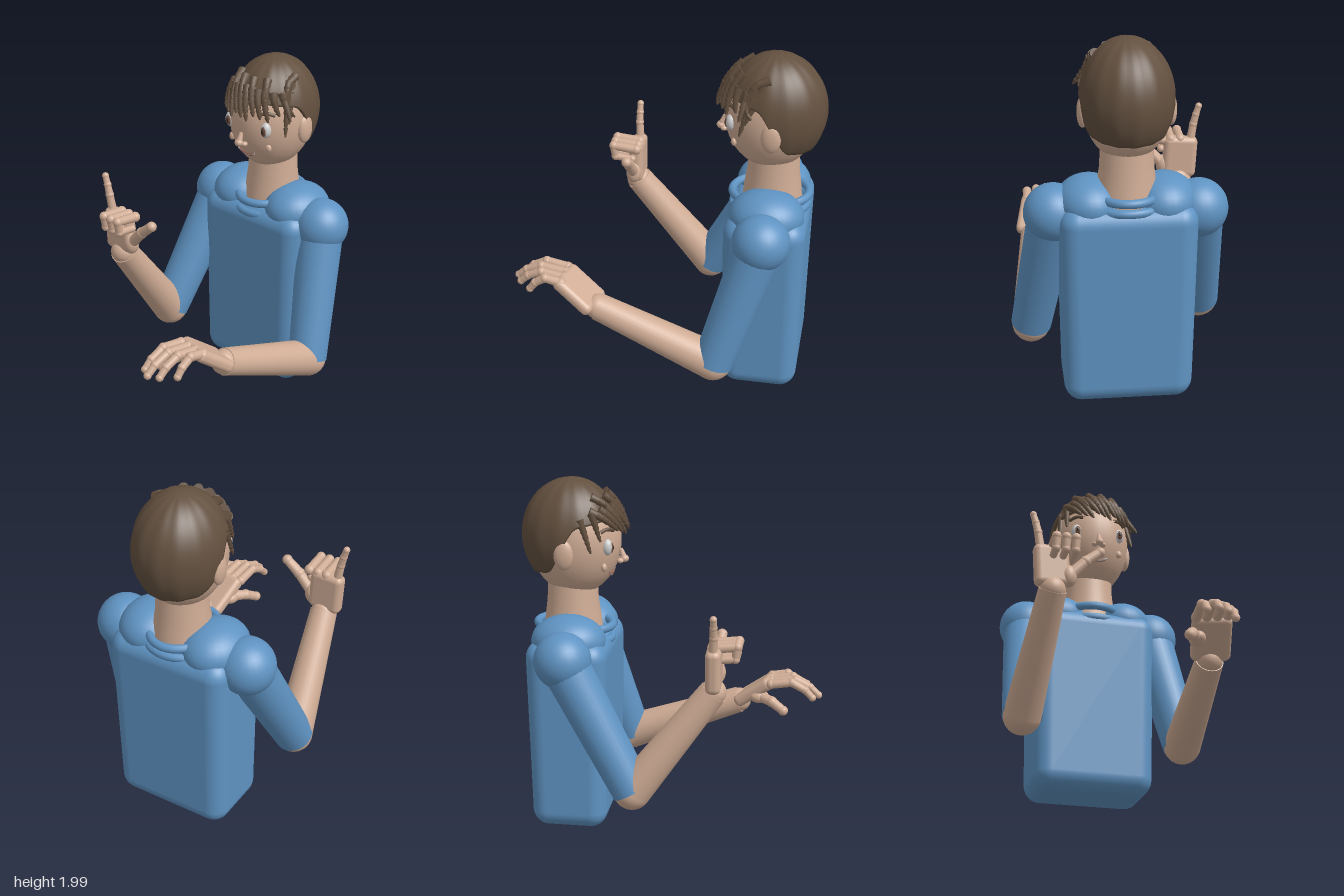
import * as THREE from 'three';
import { RoundedBoxGeometry } from 'three/addons/geometries/RoundedBoxGeometry.js';

const mat = (color) => new THREE.MeshStandardMaterial({ color, side: THREE.DoubleSide });
const skin = mat(0xcfac95), blue = mat(0x5f93c2), hairMat = mat(0x63503f);
const white = mat(0xd8d8d8), iris = mat(0x6e4c3c), dark = mat(0x2a2220), lip = mat(0x9a6655);
const V = (x, y, z) => new THREE.Vector3(x, y, z);
const ball = new THREE.SphereGeometry(1, 28, 20);
const bead = new THREE.SphereGeometry(1, 14, 10);
const CX = -0.02, CZ = -0.56;

function add(parent, name, geo, material, pos = V(0, 0, 0)) {
  const m = new THREE.Mesh(geo, material);
  m.name = name;
  m.position.copy(pos);
  parent.add(m);
  return m;
}

function ellipsoid(parent, name, material, pos, rx, ry = rx, rz = rx, geo = ball) {
  const m = add(parent, name, geo, material, pos);
  m.scale.set(rx, ry, rz);
  return m;
}

// Tapered cylinder running from a to b
function limb(parent, name, material, a, b, ra, rb, sides = 28) {
  const d = b.clone().sub(a);
  const m = add(parent, name, new THREE.CylinderGeometry(rb, ra, d.length(), sides), material,
    a.clone().add(b).multiplyScalar(0.5));
  m.quaternion.setFromUnitVectors(V(0, 1, 0), d.normalize());
  return m;
}

// Jointed finger: tapered bones with a ball at each joint
function finger(parent, name, points, r) {
  const g = new THREE.Group();
  g.name = name;
  parent.add(g);
  points.forEach((p, i) => {
    const ri = r * (1 - 0.09 * i);
    ellipsoid(g, 'joint', skin, p, ri * 1.05, ri * 1.05, ri * 1.05, bead);
    if (i) limb(g, 'bone', skin, points[i - 1], p, ri * 1.06, ri * 0.94, 14);
  });
}

function arm(parent, name, shoulder, elbow, wrist) {
  const g = new THREE.Group();
  g.name = name;
  parent.add(g);
  ellipsoid(g, 'shoulderCap', blue, shoulder, 0.16);
  limb(g, 'sleeve', blue, shoulder, elbow, 0.135, 0.113);
  ellipsoid(g, 'elbow', skin, elbow, 0.108);
  limb(g, 'forearm', skin, elbow, wrist, 0.108, 0.078);
  ellipsoid(g, 'wrist', skin, wrist, 0.073);
  return g;
}

function buildTorso(g) {
  // Rounded trunk narrowing slightly to the hem
  const trunk = new RoundedBoxGeometry(0.74, 1.12, 0.46, 6, 0.1);
  const p = trunk.attributes.position;
  for (let i = 0; i < p.count; i++) {
    const s = 0.97 + 0.05 * p.getY(i);
    p.setX(i, p.getX(i) * s);
    p.setZ(i, p.getZ(i) * s);
  }
  add(g, 'trunk', trunk, blue, V(CX, 0.565, CZ));
  for (const s of [-1, 1])
    ellipsoid(g, 'shoulderYoke', blue, V(CX + s * 0.2, 1.11, CZ), 0.18, 0.145, 0.21);
  // Two collar rings, tipped forward
  for (const [y, rx, rz, tilt] of [[1.155, 0.175, 0.215, 0.03], [1.09, 0.2, 0.21, 0.07]]) {
    const ring = add(g, 'collar', new THREE.TorusGeometry(1, 0.11, 12, 48), blue, V(CX, y, CZ));
    ring.geometry.rotateX(Math.PI / 2).scale(rx, 0.22, rz);
    ring.rotation.x = tilt;
  }
  const neck = [[0.17, 1.1], [0.16, 1.2], [0.146, 1.3], [0.14, 1.44]].map(([r, y]) => new THREE.Vector2(r, y));
  add(g, 'neck', new THREE.LatheGeometry(neck, 36), skin, V(CX, 0, CZ - 0.01));
}

// Front surface of the head at a given x, y
function faceZ(x, y, grow = 1) {
  const u = (x - CX) / (0.235 * grow), v = (y - 1.65) / (0.32 * grow);
  return -0.55 + 0.262 * grow * Math.sqrt(Math.max(0, 1 - u * u - v * v));
}

function buildHair(g) {
  // Cap whose hem drops from the forehead to the nape
  const cap = new THREE.SphereGeometry(1, 72, 28);
  const p = cap.attributes.position, uv = cap.attributes.uv;
  for (let i = 0; i < p.count; i++) {
    const a = uv.getX(i) * Math.PI * 2, t = 1 - uv.getY(i);
    const back = (1 - Math.cos(a)) / 2;
    const k = THREE.MathUtils.smoothstep(back, 0.35, 0.72);
    const hem = 1.2 + 0.3 * back + 0.74 * k;
    const th = Math.min(t / 0.92, 1) * hem;
    const ripple = 1 + 0.008 * Math.sin(a * 14) * Math.sin(th);
    const r = ripple * (t > 0.93 ? 1 - (t - 0.93) * 2.5 : 1);
    const rz = Math.cos(a) > 0 ? 0.272 : 0.285;
    p.setXYZ(i, 0.25 * r * Math.sin(th) * Math.sin(a), 0.325 * r * Math.cos(th),
      rz * r * Math.sin(th) * Math.cos(a));
  }
  cap.computeVertexNormals();
  add(g, 'hairCap', cap, hairMat, V(CX, 1.672, -0.565));

  // Fringe locks: overlapping beads that taper to a point
  const lock = (x0, y0, x1, y1, r, zAt) => {
    const n = 6, pts = [];
    for (let i = 0; i <= n; i++) {
      const t = i / n, x = x0 + (x1 - x0) * t, y = y0 + (y1 - y0) * t;
      pts.push(V(x, y, zAt(x, y, t)));
    }
    for (let i = 0; i < n; i++)
      limb(g, 'lock', hairMat, pts[i], pts[i + 1].clone().lerp(pts[i], -0.15),
        r * (1.1 - 0.1 * i), r * (0.85 - 0.13 * i), 10);
  };
  for (let i = 0; i < 11; i++) {
    const x = -0.2 + i * 0.036;
    const front = (px, py, t) => faceZ(px, py, 1.07) + 0.025 * t;
    lock(x, 1.87 - Math.abs(i - 5) * 0.006, x + 0.06, 1.73 - (i % 3) * 0.015, 0.025, front);
    if (i % 2) lock(x + 0.02, 1.91, x + 0.07, 1.79, 0.024, front);
  }
  // Temple locks
  lock(-0.225, 1.8, -0.24, 1.62, 0.022, (x, y, t) => -0.48 + 0.06 * t);
  lock(-0.2, 1.83, -0.21, 1.68, 0.022, (x, y, t) => -0.42 + 0.05 * t);
  lock(0.14, 1.91, 0.21, 1.68, 0.025, (x, y, t) => -0.53 + 0.1 * t);
  lock(0.16, 1.87, 0.21, 1.61, 0.023, (x, y, t) => -0.47 + 0.07 * t);
  lock(0.15, 1.84, 0.245, 1.71, 0.024, (x, y, t) => -0.43 + 0.03 * t);
}

function buildHead(g) {
  ellipsoid(g, 'skull', skin, V(CX, 1.65, -0.55), 0.235, 0.32, 0.262);
  for (const s of [-1, 1]) {
    ellipsoid(g, 'ear', skin, V(CX + s * 0.232, 1.605, -0.57), 0.03, 0.085, 0.055);
    const x = CX + s * 0.133, z = faceZ(x, 1.635);
    ellipsoid(g, 'eye', white, V(x, 1.635, z - 0.008), 0.032, 0.046, 0.03);
    ellipsoid(g, 'iris', iris, V(x + 0.002, 1.633, z + 0.012), 0.018, 0.03, 0.014);
    ellipsoid(g, 'pupil', dark, V(x + 0.002, 1.633, z + 0.021), 0.008, 0.014, 0.007);
    ellipsoid(g, 'cheek', skin, V(CX + s * 0.138, 1.52, faceZ(x, 1.52)), 0.02, 0.024, 0.016);
    ellipsoid(g, 'nostril', skin, V(CX - 0.005 + s * 0.025, 1.535, -0.29), 0.018, 0.015, 0.02);
    const brow = [-1, 0, 1].map((k) => {
      const bx = x + k * 0.038, by = 1.735 - 0.012 * k * k;
      return V(bx, by, faceZ(bx, by) + 0.004);
    });
    add(g, 'brow', new THREE.TubeGeometry(new THREE.CatmullRomCurve3(brow), 12, 0.011, 8), hairMat);
  }
  limb(g, 'noseBridge', skin, V(CX - 0.005, 1.6, -0.29), V(CX - 0.005, 1.545, -0.272), 0.011, 0.02, 14);
  ellipsoid(g, 'noseTip', skin, V(CX - 0.005, 1.543, -0.27), 0.025, 0.022, 0.025);
  // Smiling mouth: two lips around a row of teeth
  for (const [name, sag, r, m] of [['upperLip', 0.012, 0.005, lip], ['teeth', 0.018, 0.006, white], ['lowerLip', 0.025, 0.005, lip]]) {
    const pts = [-1, -0.5, 0, 0.5, 1].map((k) => {
      const x = CX - 0.005 + k * 0.066, y = 1.472 - sag * (1 - k * k);
      return V(x, y, faceZ(x, y) + 0.003);
    });
    add(g, name, new THREE.TubeGeometry(new THREE.CatmullRomCurve3(pts), 20, r, 8), m);
  }
  buildHair(g);
}

// Raised hand: little finger and thumb out, the others curled
function buildRightHand(g) {
  const palm = add(g, 'rightPalm', new RoundedBoxGeometry(0.2, 0.25, 0.085, 5, 0.035), skin, V(-0.435, 1.055, 0.285));
  palm.rotation.z = 0.06;
  for (const x of [-0.435, -0.38, -0.325])
    finger(g, 'curledFinger', [V(x, 1.165, 0.275), V(x, 1.18, 0.41), V(x, 1.11, 0.4), V(x, 1.1, 0.3)], 0.029);
  finger(g, 'littleFinger', [V(-0.5, 1.16, 0.285), V(-0.515, 1.25, 0.29), V(-0.53, 1.31, 0.29), V(-0.545, 1.36, 0.29)], 0.026);
  ellipsoid(g, 'thumbBase', skin, V(-0.34, 1.0, 0.295), 0.045, 0.065, 0.045);
  finger(g, 'thumb', [V(-0.34, 1.0, 0.295), V(-0.245, 1.1, 0.3), V(-0.165, 1.165, 0.3)], 0.035);
}

// Lowered hand: reaching forward, fingers gently bent down
function buildLeftHand(g) {
  const a = V(0.44, 0.57, 0.36), b = V(0.39, 0.72, 0.56);
  const palm = add(g, 'leftPalm', new RoundedBoxGeometry(0.22, 0.075, 0.27, 5, 0.033), skin, a.clone().lerp(b, 0.5));
  palm.lookAt(b);
  [[0.305, 0.28, 0.8], [0.36, 0.335, 0.835], [0.415, 0.395, 0.805], [0.468, 0.46, 0.735]].forEach(([x0, x1, z]) => {
    const l = z - 0.55, x = (t) => x0 + (x1 - x0) * t;
    finger(g, 'finger', [V(x0, 0.715, 0.55), V(x(0.45), 0.735, 0.55 + l * 0.5), V(x(0.8), 0.695, 0.55 + l * 0.82), V(x1, 0.65, z)], 0.029);
  });
  ellipsoid(g, 'thumbBase', skin, V(0.33, 0.625, 0.48), 0.045, 0.04, 0.06);
  finger(g, 'thumb', [V(0.33, 0.63, 0.48), V(0.275, 0.615, 0.56), V(0.24, 0.575, 0.63)], 0.035);
}

export function createModel() {
  const root = new THREE.Group();
  root.name = 'figure';
  const group = (name) => {
    const g = new THREE.Group();
    g.name = name;
    root.add(g);
    return g;
  };
  buildTorso(group('torso'));
  buildHead(group('head'));
  buildRightHand(arm(root, 'rightArm', V(-0.41, 1.05, -0.555), V(-0.49, 0.335, -0.16), V(-0.425, 0.915, 0.28)));
  buildLeftHand(arm(root, 'leftArm', V(0.37, 1.05, -0.555), V(0.49, 0.3, -0.325), V(0.44, 0.56, 0.35)));
  return root;
}
